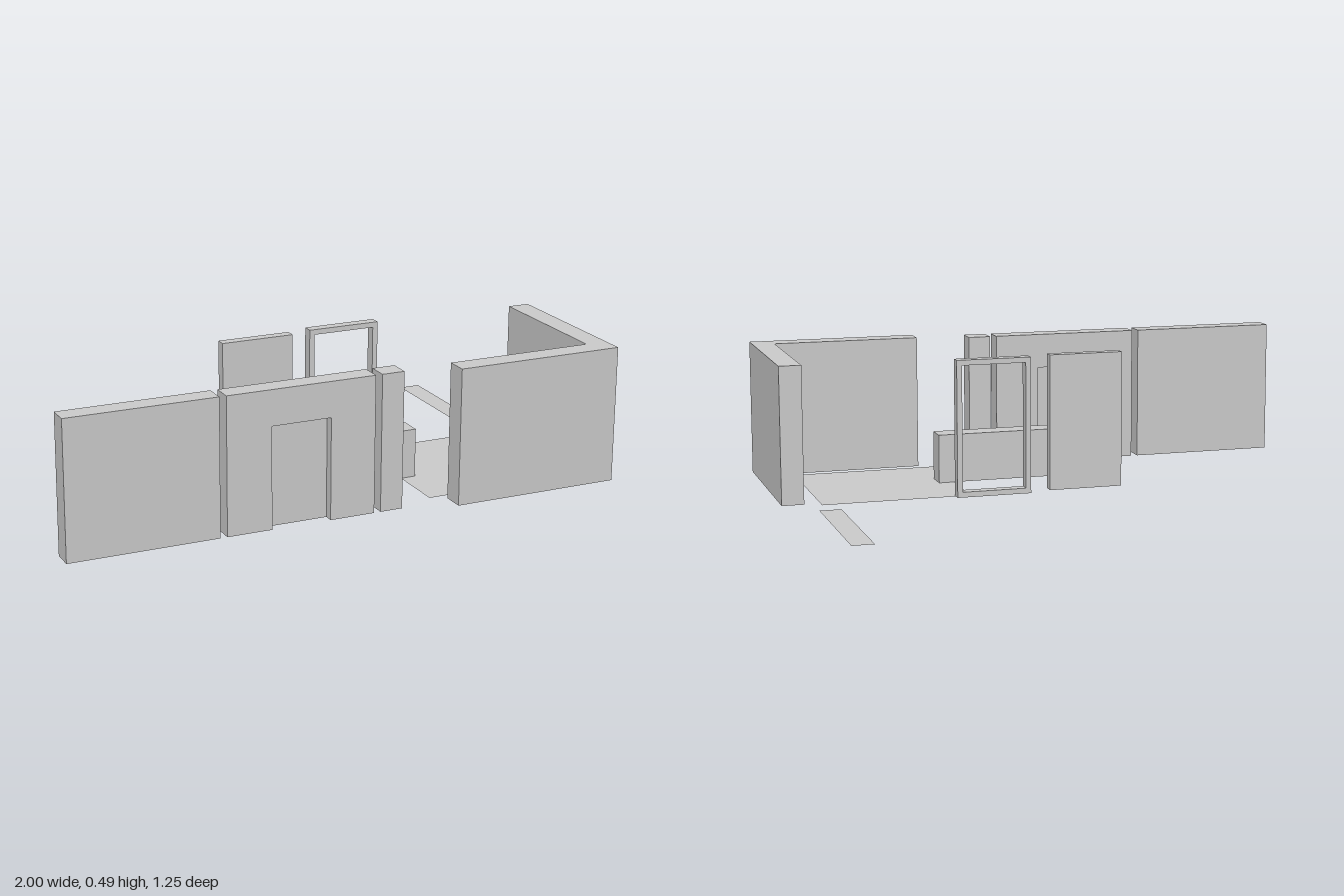
import * as THREE from 'three';

const H = 0.488; // full wall height
const material = new THREE.MeshStandardMaterial({ color: 0xcccccc, flatShading: true, side: THREE.DoubleSide });

export function createModel() {
  const group = new THREE.Group();

  const add = (name, geometry) => {
    const mesh = new THREE.Mesh(geometry, material);
    mesh.name = name;
    group.add(mesh);
    return mesh;
  };

  // Upright block from its plan extents
  const block = (name, x0, x1, z0, z1, height = H) =>
    add(name, new THREE.BoxGeometry(x1 - x0, height, z1 - z0))
      .position.set((x0 + x1) / 2, height / 2, (z0 + z1) / 2);

  // Flat sheet lying on the ground
  const sheet = (name, x0, x1, z0, z1) =>
    add(name, new THREE.PlaneGeometry(x1 - x0, z1 - z0).rotateX(-Math.PI / 2))
      .position.set((x0 + x1) / 2, 0, (z0 + z1) / 2);

  // Outline pushed along z from z0 to z1
  const extrude = (name, shape, z0, z1) =>
    add(name, new THREE.ExtrudeGeometry(shape, { depth: z1 - z0, bevelEnabled: false }))
      .position.z = z0;

  const outline = (points) => new THREE.Shape(points.map(([x, y]) => new THREE.Vector2(x, y)));

  // Front row: plain wall, wall with doorway, end pillar
  const z0 = 0.494, z1 = 0.569;
  block('plainWall', -1, -0.468, z0, z1);
  extrude('doorwayWall', outline([
    [-0.444, 0], [-0.283, 0], [-0.283, 0.362], [-0.069, 0.362],
    [-0.069, 0], [0.094, 0], [0.094, H], [-0.444, H],
  ]), z0, z1);
  block('doorwayInfill', -0.283, -0.069, 0.527, 0.536, 0.362);
  block('pillar', 0.118, 0.2, z0, z1);

  // L-shaped corner wall, drawn in plan and stood upright
  const corner = new THREE.ExtrudeGeometry(outline([
    [0.387, -0.626], [1, -0.626], [1, -0.014],
    [0.921, -0.014], [0.921, -0.547], [0.387, -0.547],
  ]), { depth: H, bevelEnabled: false });
  add('cornerWall', corner.rotateX(-Math.PI / 2));

  // Low wall
  block('lowWall', -0.15, 0.387, 0.225, 0.306, 0.176);

  // Door leaf
  block('doorPanel', -0.228, 0.04, -0.014, 0.023);

  // Open frame
  const frame = outline([[0.118, 0], [0.387, 0], [0.387, H], [0.118, H]]);
  const t = 0.019;
  frame.holes.push(outline([
    [0.118 + t, t], [0.118 + t, H - t], [0.387 - t, H - t], [0.387 - t, t],
  ]));
  extrude('doorFrame', frame, -0.04, -0.002);

  // Floor pieces
  sheet('floor', 0.332, 0.864, -0.014, 0.52);
  sheet('floorStrip', 0.813, 0.89, -0.626, -0.095);

  return group;
}
